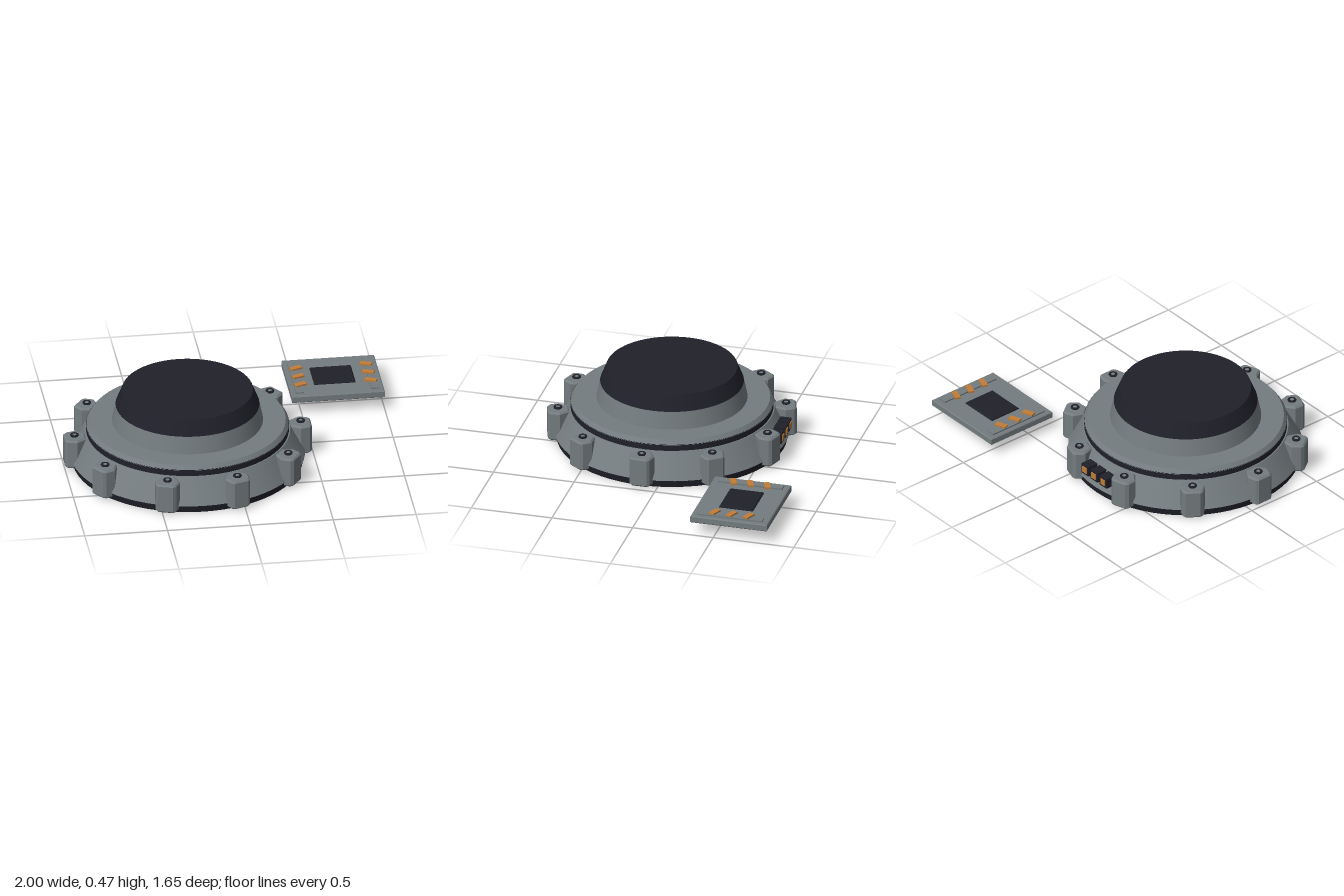
import * as THREE from 'three';

export function createModel() {
  const mat = (name, color) => {
    const m = new THREE.MeshStandardMaterial({ color });
    m.name = name;
    return m;
  };
  const grey = mat('steel grey', 0x747c7f);
  const black = mat('blue black', 0x20202a);
  const copper = mat('copper orange', 0xc07c38);

  const model = new THREE.Group();
  model.name = 'deviceSet';

  function add(parent, name, geometry, material, x = 0, y = 0, z = 0) {
    const mesh = new THREE.Mesh(geometry, material);
    mesh.name = name;
    mesh.position.set(x, y, z);
    parent.add(mesh);
    return mesh;
  }
  // Round band between two heights
  function band(parent, name, y0, r0, y1, r1, material) {
    return add(parent, name, new THREE.CylinderGeometry(r1, r0, y1 - y0, 64), material, 0, (y0 + y1) / 2, 0);
  }
  const box = (w, h, d) => new THREE.BoxGeometry(w, h, d);
  // Upright prism with bevelled edges, drawn in x and z
  function prism(points, height, bevel) {
    const shape = new THREE.Shape(points.map(([x, z]) => new THREE.Vector2(x, -z)));
    const g = new THREE.ExtrudeGeometry(shape, {
      depth: height - 2 * bevel, bevelEnabled: true, bevelThickness: bevel,
      bevelSize: bevel, bevelOffset: -bevel, bevelSegments: 1,
    });
    g.translate(0, 0, bevel);
    return g.rotateX(-Math.PI / 2);
  }

  // Round device, stacked from the floor up
  const device = new THREE.Group();
  device.name = 'roundDevice';
  device.position.set(-0.255, 0, 0.1);
  model.add(device);
  band(device, 'basePlate', 0, 0.69, 0.045, 0.7, black);
  band(device, 'slopedBody', 0.045, 0.703, 0.2, 0.615, grey);
  band(device, 'sealRing', 0.2, 0.607, 0.24, 0.607, black);
  band(device, 'topPlate', 0.237, 0.608, 0.265, 0.588, grey);
  band(device, 'domeSkirt', 0.265, 0.452, 0.372, 0.43, grey);
  band(device, 'domeCap', 0.372, 0.43, 0.467, 0.392, black);

  // Ten clamp lugs, each with a bolt
  const outline = [
    [0.615, -0.035], [0.675, -0.076], [0.73, -0.062], [0.745, -0.045],
    [0.745, 0.045], [0.73, 0.062], [0.675, 0.076], [0.615, 0.035],
  ];
  const lugGeometry = prism(outline, 0.185, 0.01);
  const washer = new THREE.TorusGeometry(0.02, 0.007, 6, 20).rotateX(Math.PI / 2);
  const bolt = new THREE.CylinderGeometry(0.013, 0.013, 0.016, 6);
  for (let i = 0; i < 10; i++) {
    const lug = new THREE.Group();
    lug.name = 'clampLug';
    lug.rotation.y = (i * Math.PI) / 5;
    device.add(lug);
    add(lug, 'lugBlock', lugGeometry, grey, 0, 0.015, 0);
    add(lug, 'boltRim', washer, black, 0.683, 0.208, 0);
    add(lug, 'boltHead', bolt, grey, 0.683, 0.204, 0);
  }

  // Three connectors at the back
  for (const x of [-0.085, 0, 0.085]) {
    add(device, 'connectorHousing', box(0.066, 0.065, 0.07), black, x, 0.125, -0.675);
    add(device, 'connectorContact', box(0.04, 0.038, 0.008), copper, x, 0.125, -0.711);
  }

  // Separate circuit card
  const card = new THREE.Group();
  card.name = 'circuitCard';
  card.position.set(0.72, 0, -0.595);
  model.add(card);
  const rect = (w, d) => [[-w / 2, -d / 2], [w / 2, -d / 2], [w / 2, d / 2], [-w / 2, d / 2]];
  add(card, 'board', prism(rect(0.56, 0.475), 0.043, 0.005), grey, 0, 0.082, 0);
  add(card, 'topChip', prism(rect(0.25, 0.21), 0.02, 0.008), black, -0.003, 0.117, -0.003);
  const lower = prism(rect(0.25, 0.235), 0.075, 0.02);
  add(card, 'lowerChip', lower, black, -0.003, 0.015, 0.002);
  for (const side of [-1, 1]) {
    add(card, 'contactRail', box(0.05, 0.01, 0.4), grey, side * 0.227, 0.129, 0);
    for (const z of [-0.105, 0, 0.105]) {
      const tab = add(card, 'contactTab', box(0.072, 0.012, 0.036), copper, side * 0.212, 0.137, z);
      tab.rotation.y = -side * 0.38;
    }
  }
  return model;
}
